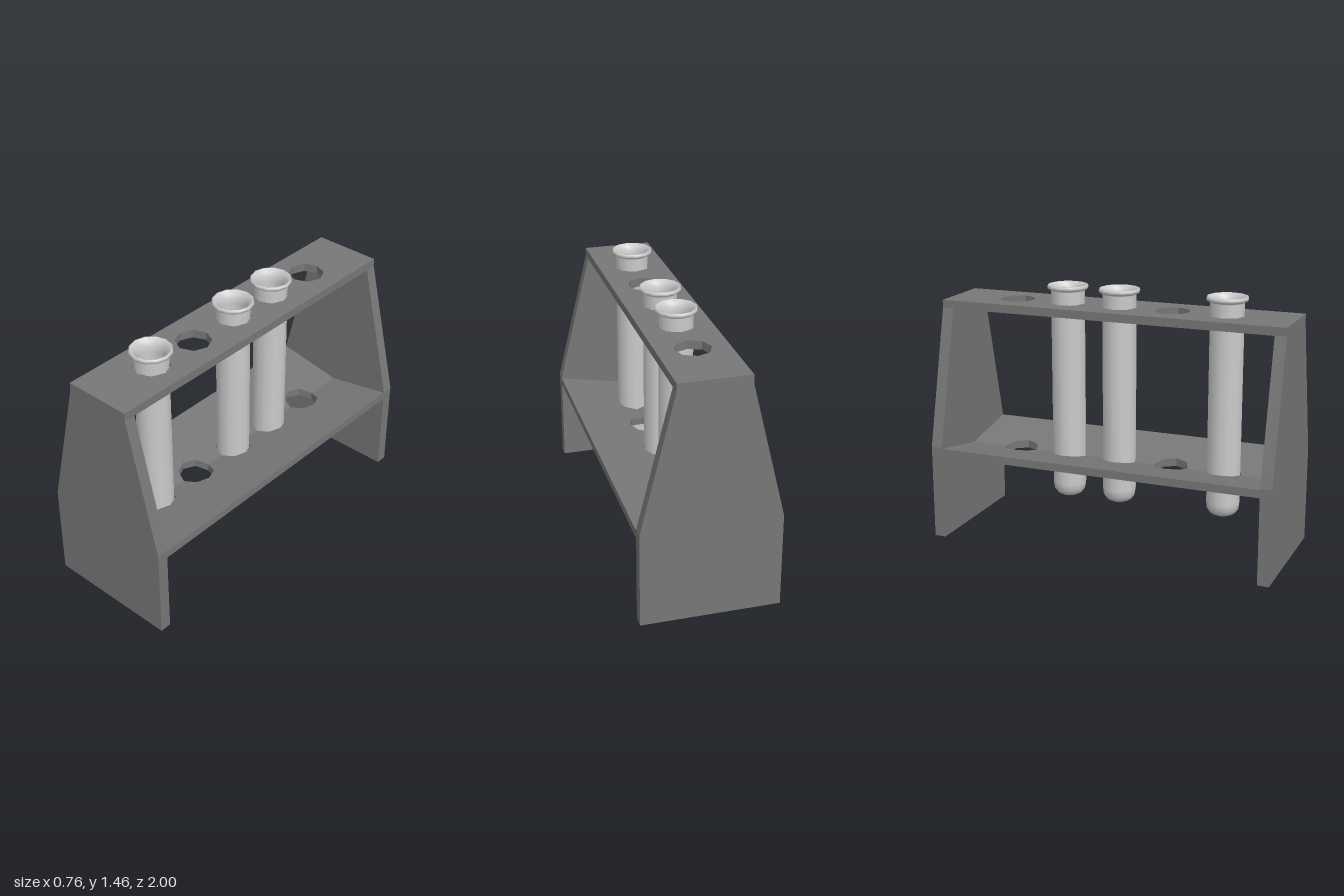
import * as THREE from 'three';

const HOLE_Z = [-0.62, -0.31, 0, 0.31, 0.62];
const TUBE_Z = [-0.31, 0, 0.62];
const HOLE_R = 0.1;
const INNER_Z = 0.935; // inner face of the end panels
const HALF_W = 0.382;
const TOP_W = 0.194;

const octagon = (cz, from, to, steps) => Array.from({ length: steps + 1 }, (_, i) => {
  const a = from + (to - from) * i / steps;
  return new THREE.Vector2(HOLE_R * Math.cos(a), cz + HOLE_R * Math.sin(a));
});

// Plate drawn in x/z, extruded downwards from y = 0
function plate(shape, thickness) {
  return new THREE.ExtrudeGeometry(shape, { depth: thickness, bevelEnabled: false }).rotateX(Math.PI / 2);
}

export function createModel() {
  const group = new THREE.Group();
  const frame = new THREE.MeshStandardMaterial({ color: 0x777777, flatShading: true });
  const glass = new THREE.MeshStandardMaterial({ color: 0xcccccc, side: THREE.DoubleSide });
  const add = (name, geometry, material) => {
    const mesh = new THREE.Mesh(geometry, material);
    mesh.name = name;
    group.add(mesh);
    return mesh;
  };

  // End panels
  const outline = [[HALF_W, 0], [HALF_W, 0.54], [TOP_W, 1.31], [TOP_W, 1.355]];
  const points = [...outline, ...outline.map(([x, y]) => [-x, y]).reverse()];
  const panelShape = new THREE.Shape(points.map(([x, y]) => new THREE.Vector2(x, y)));
  const panel = new THREE.ExtrudeGeometry(panelShape, { depth: 1 - INNER_Z, bevelEnabled: false });
  add('frontPanel', panel, frame).position.z = INNER_Z;
  add('backPanel', panel, frame).position.z = -1;

  // Top plate with octagonal holes
  const top = new THREE.Shape([[-1, -1], [1, -1], [1, 1], [-1, 1]]
    .map(([x, z]) => new THREE.Vector2(x * TOP_W, z * INNER_Z)));
  for (const z of HOLE_Z) top.holes.push(new THREE.Path(octagon(z, 0, -Math.PI * 1.75, 7)));
  add('topPlate', plate(top, 0.047), frame).position.y = 1.355;

  // V-shaped shelf: two sloping halves, each notched by half of every hole
  const half = [new THREE.Vector2(HALF_W, -INNER_Z), new THREE.Vector2(HALF_W, INNER_Z), new THREE.Vector2(0, INNER_Z)];
  for (const z of [...HOLE_Z].reverse()) half.push(...octagon(z, Math.PI / 2, -Math.PI / 2, 4));
  half.push(new THREE.Vector2(0, -INNER_Z));
  const shelf = plate(new THREE.Shape(half), 0.045);
  const pos = shelf.attributes.position;
  for (let i = 0; i < pos.count; i++) pos.setY(i, pos.getY(i) + 0.068 * pos.getX(i) / HALF_W);
  shelf.computeVertexNormals();
  add('shelfLeft', shelf, frame).position.y = 0.465;
  const right = add('shelfRight', shelf, frame);
  right.position.y = 0.465;
  right.rotation.y = Math.PI;

  // Test tubes: outer wall, flared lip and hollow inside in one profile
  const profile = [
    [0, 0.225], [0.045, 0.227], [0.072, 0.24], [0.09, 0.267], [0.095, 0.305],
    [0.095, 1.425], [0.101, 1.432], [0.113, 1.437], [0.116, 1.447], [0.113, 1.458], [0.105, 1.46],
    [0.09, 1.443], [0.079, 1.42], [0.075, 1.39], [0.075, 0.31], [0.06, 0.265], [0.035, 0.25], [0, 0.247],
  ].map(([r, y]) => new THREE.Vector2(r, y));
  const tube = new THREE.LatheGeometry(profile, 12);
  TUBE_Z.forEach((z, i) => { add('testTube' + (i + 1), tube, glass).position.z = z; });

  return group;
}
